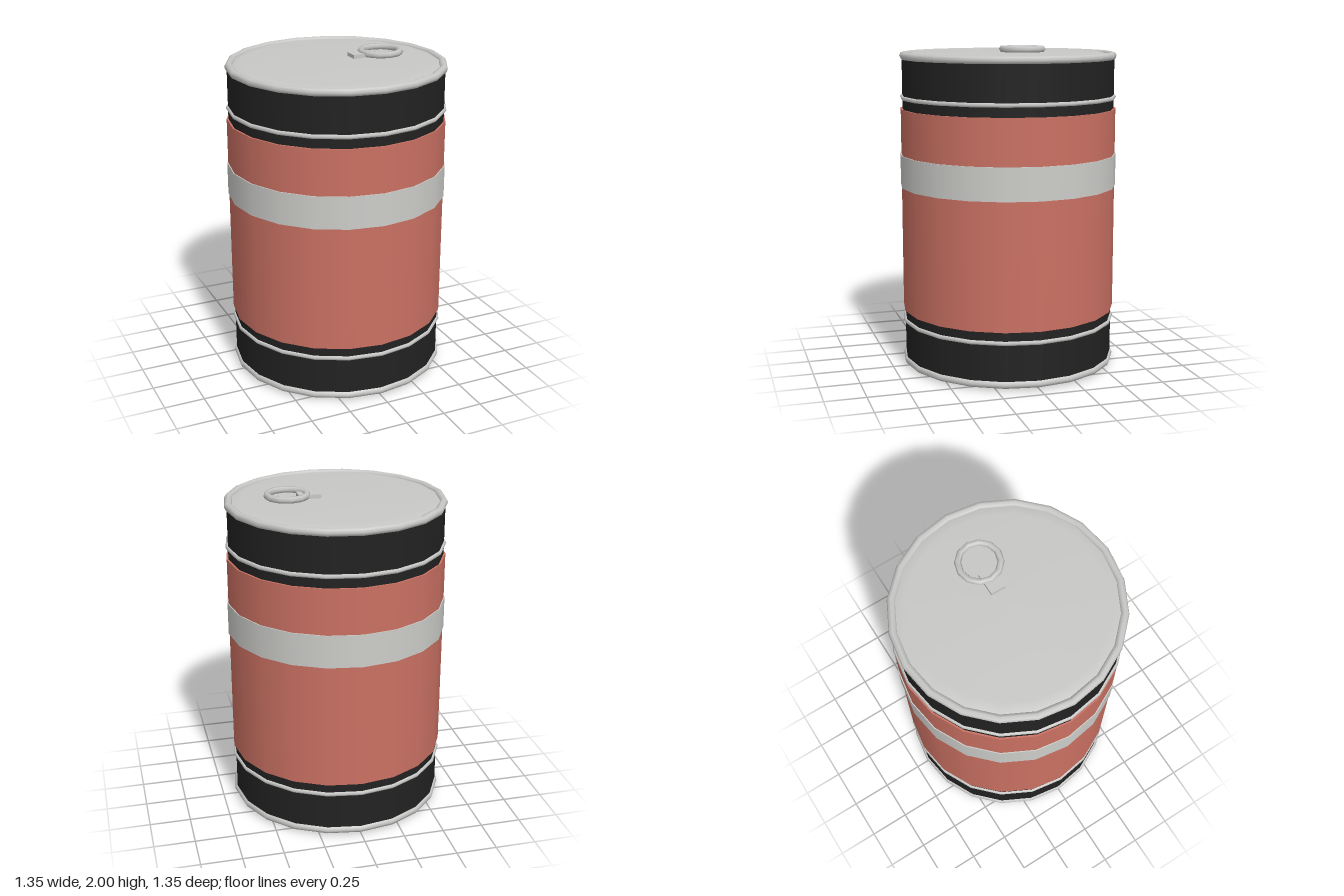
import * as THREE from 'three';

const SIDES = 20;

export function createModel() {
  const model = new THREE.Group();
  const paint = (name, color) => {
    const m = new THREE.MeshStandardMaterial({ color });
    m.name = name;
    return m;
  };
  const black = paint('black paint', 0x222222);
  const red = paint('red label', 0xcb7163);
  const pale = paint('pale stripe', 0xcdcecA);
  const silver = paint('silver metal', 0xc8c8c6);

  const add = (name, geometry, material, x = 0, y = 0, z = 0) => {
    const mesh = new THREE.Mesh(geometry, material);
    mesh.name = name;
    mesh.position.set(x, y, z);
    model.add(mesh);
    return mesh;
  };
  // Open straight wall between two heights
  const wall = (name, radius, y0, y1, material) =>
    add(name, new THREE.CylinderGeometry(radius, radius, y1 - y0, SIDES, 1, true), material, 0, (y0 + y1) / 2);
  // Flat ring joining two radii, so that a sleeve's edge is closed
  const edge = (name, outer, y, up, material) => {
    const ring = add(name, new THREE.RingGeometry(0.65, outer, SIDES), material, 0, y);
    ring.rotation.x = up ? -Math.PI / 2 : Math.PI / 2;
  };
  const hoop = (name, radius, tube, y, sides, squash = 1) => {
    const g = new THREE.TorusGeometry(radius, tube, sides, SIDES).rotateX(Math.PI / 2);
    return add(name, g.scale(1, squash, 1), silver, 0, y);
  };
  const lathe = (points) =>
    new THREE.LatheGeometry(points.map(([r, y]) => new THREE.Vector2(r, y)), SIDES);

  // Body, label sleeve and stripe
  wall('body', 0.657, 0.03, 1.93, black);
  wall('label', 0.668, 0.355, 1.61, red);
  edge('labelTopEdge', 0.668, 1.61, true, red);
  edge('labelBottomEdge', 0.668, 0.355, false, red);
  wall('stripe', 0.674, 1.13, 1.33, pale);
  edge('stripeTopEdge', 0.674, 1.33, true, pale);
  edge('stripeBottomEdge', 0.674, 1.13, false, pale);

  // Rolled rims and thin beads
  hoop('topRim', 0.646, 0.025, 1.931, 8);
  hoop('bottomRim', 0.646, 0.025, 0.033, 8);
  hoop('upperBead', 0.657, 0.014, 1.68, 6);
  hoop('lowerBead', 0.657, 0.014, 0.288, 6);

  // Lid with a sloped shoulder, and the base
  add('lid', lathe([[0.64, 1.935], [0.565, 1.955], [0, 1.96]]), silver);
  add('base', lathe([[0, 0], [0.6, 0.004], [0.64, 0.015]]), silver);

  // Pull ring and its tab
  const ring = new THREE.TorusGeometry(0.121, 0.02, 6, 12).rotateX(Math.PI / 2);
  add('pullRing', ring, silver, 0.295, 1.982);
  add('pullTab', new THREE.BoxGeometry(0.136, 0.024, 0.09), silver, 0.163, 1.972);

  return model;
}
